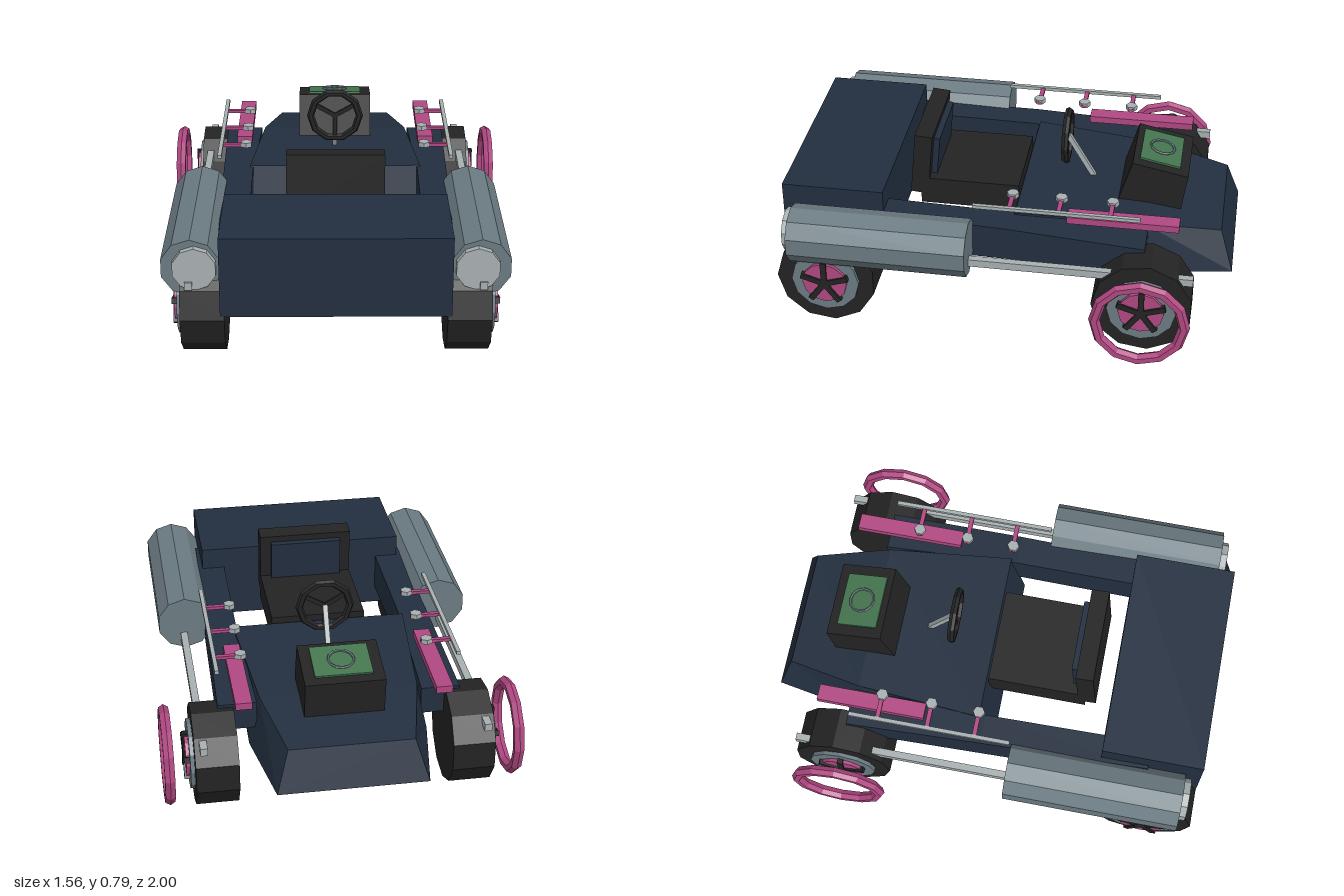
import * as THREE from 'three';

export function createModel() {
  const model = new THREE.Group();
  const mat = (name, color) => {
    const m = new THREE.MeshStandardMaterial({ color, flatShading: true });
    m.name = name;
    return m;
  };
  const navy = mat('navy', 0x222e3f);
  const black = mat('black', 0x232323);
  const steel = mat('steel grey', 0x6b7b82);
  const light = mat('light grey', 0xa8b0b2);
  const magenta = mat('magenta', 0xb04882);
  const green = mat('green', 0x44754f);

  const add = (name, geo, material, x = 0, y = 0, z = 0, parent = model) => {
    const mesh = new THREE.Mesh(geo, material);
    mesh.name = name;
    mesh.position.set(x, y, z);
    parent.add(mesh);
    return mesh;
  };
  const box = (w, h, d) => new THREE.BoxGeometry(w, h, d);
  const cylX = (r, len, n) => new THREE.CylinderGeometry(r, r, len, n).rotateZ(Math.PI / 2);
  const cylZ = (r, len, n) => new THREE.CylinderGeometry(r, r, len, n).rotateX(Math.PI / 2);

  // Four-cornered cross-sections joined from back (-z) to front (+z).
  // Each section lists bottom left, bottom right, top right, top left.
  const loft = (sections) => {
    const pos = [];
    const quad = (a, b, c, d) => pos.push(...a, ...b, ...c, ...a, ...c, ...d);
    for (let i = 0; i + 1 < sections.length; i++) {
      const a = sections[i], b = sections[i + 1];
      for (let j = 0; j < 4; j++) {
        const k = (j + 1) % 4;
        quad(a[j], a[k], b[k], b[j]);
      }
    }
    const [s, e] = [sections[0], sections[sections.length - 1]];
    quad(s[3], s[2], s[1], s[0]);
    quad(e[0], e[1], e[2], e[3]);
    const g = new THREE.BufferGeometry();
    g.setAttribute('position', new THREE.Float32BufferAttribute(pos, 3));
    g.computeVertexNormals();
    return g;
  };
  const section = (xb, yb, zb, xt, yt, zt) =>
    [[-xb, yb, zb], [xb, yb, zb], [xt, yt, zt], [-xt, yt, zt]];

  // Body
  add('noseBody', loft([
    section(0.325, 0.23, -1, 0.27, 0.41, -0.94),
    section(0.395, 0.23, -0.6, 0.345, 0.46, -0.6),
    section(0.38, 0.23, 0.04, 0.395, 0.49, -0.03),
  ]), navy);
  add('endBox', box(0.96, 0.355, 0.455), navy, 0, 0.418, 0.7725);

  // Seat
  add('seatCushion', box(0.43, 0.13, 0.45), black, 0, 0.45, 0.205);
  const backrest = new THREE.Group();
  backrest.name = 'backrest';
  backrest.position.set(0, 0.585, 0.425);
  backrest.rotation.x = -0.09;
  model.add(backrest);
  add('backrestShell', box(0.43, 0.3, 0.08), black, 0, 0, 0, backrest);
  add('backrestPad', box(0.33, 0.22, 0.03), navy, 0, 0.01, -0.052, backrest);

  // Steering
  add('steeringWheel', new THREE.TorusGeometry(0.115, 0.017, 6, 10), black, 0, 0.67, -0.212);
  for (let i = 0; i < 3; i++) {
    const a = Math.PI / 2 + i * Math.PI * 2 / 3 + Math.PI;
    const s = add('steeringSpoke', box(0.11, 0.02, 0.012), black,
      Math.cos(a) * 0.055, 0.67 + Math.sin(a) * 0.055, -0.212);
    s.rotation.z = a;
  }
  const column = add('steeringColumn', box(0.022, 0.26, 0.022), light, 0, 0.562, -0.282);
  column.rotation.x = 0.53;

  // Console on the hood, with a sloping green panel and a ring
  add('hoodConsole', loft([
    section(0.173, 0.44, -0.75, 0.173, 0.61, -0.775),
    section(0.173, 0.44, -0.46, 0.173, 0.66, -0.525),
  ]), black);
  const panel = new THREE.Group();
  panel.name = 'consolePanel';
  panel.position.set(0, 0.637, -0.643);
  panel.rotation.x = -0.2;
  model.add(panel);
  add('greenPanel', box(0.25, 0.009, 0.185), green, 0, 0.005, 0, panel);
  add('panelRing', new THREE.TorusGeometry(0.055, 0.006, 5, 12).rotateX(Math.PI / 2), steel, 0, 0.014, 0, panel);

  // Wheel with rim, hub disc and five spokes on the outer side
  const wheel = (name, side, z) => {
    const g = new THREE.Group();
    g.name = name;
    g.position.set(side * 0.555, 0.222, z);
    model.add(g);
    add('tyre', cylX(0.222, 0.185, 11), black, 0, 0, 0, g);
    add('rim', cylX(0.152, 0.02, 12), steel, side * 0.1, 0, 0, g);
    add('hubDisc', cylX(0.1, 0.02, 12), magenta, side * 0.115, 0, 0, g);
    for (let i = 0; i < 5; i++) {
      const a = Math.PI / 2 + i * Math.PI * 2 / 5;
      const s = add('spoke', box(0.025, 0.026, 0.11), black,
        side * 0.121, Math.sin(a) * 0.055, Math.cos(a) * 0.055, g);
      s.rotation.x = -a;
    }
  };

  for (const side of [1, -1]) {
    const label = side > 0 ? 'left' : 'right';

    // Side beam from hood to end box
    const beamSection = (inner, outer, yb, yt, z) => {
      const [a, b] = [side * inner, side * outer].sort((p, q) => p - q);
      return [[a, yb, z], [b, yb, z], [b, yt, z], [a, yt, z]];
    };
    add(label + 'SideBeam', loft([
      beamSection(0.36, 0.53, 0.325, 0.45, -0.62),
      beamSection(0.38, 0.515, 0.325, 0.485, 0),
      beamSection(0.372, 0.495, 0.325, 0.5, 0.76),
    ]), navy);

    // Wheels and the free ring outside the hood wheel
    wheel(label + 'EndWheel', side, 0.78);
    wheel(label + 'HoodWheel', side, -0.625);
    add(label + 'OuterRing', new THREE.TorusGeometry(0.194, 0.025, 6, 12).rotateY(Math.PI / 2),
      magenta, side * 0.757, 0.225, -0.625);

    // Side tank with end cap and long rod
    add(label + 'Tank', cylZ(0.128, 0.79, 10), steel, side * 0.602, 0.43, 0.535);
    add(label + 'TankCap', cylZ(0.094, 0.03, 10), light, side * 0.585, 0.437, 0.945);
    add(label + 'TankRod', box(0.032, 0.035, 1.81), light, side * 0.61, 0.365, 0.065);

    // Rail above the beam, with cross pins and bolts
    add(label + 'SidePlate', box(0.072, 0.032, 0.49), magenta, side * 0.43, 0.525, -0.515);
    add(label + 'Rail', box(0.018, 0.016, 0.73), light, side * 0.525, 0.6, -0.23);
    for (const z of [-0.465, -0.24, -0.025]) {
      add(label + 'CrossPin', box(0.145, 0.014, 0.02), magenta, side * 0.458, 0.597, z);
      add(label + 'Bolt', new THREE.CylinderGeometry(0.027, 0.027, 0.022, 6), light, side * 0.41, 0.601, z);
    }
  }
  return model;
}
